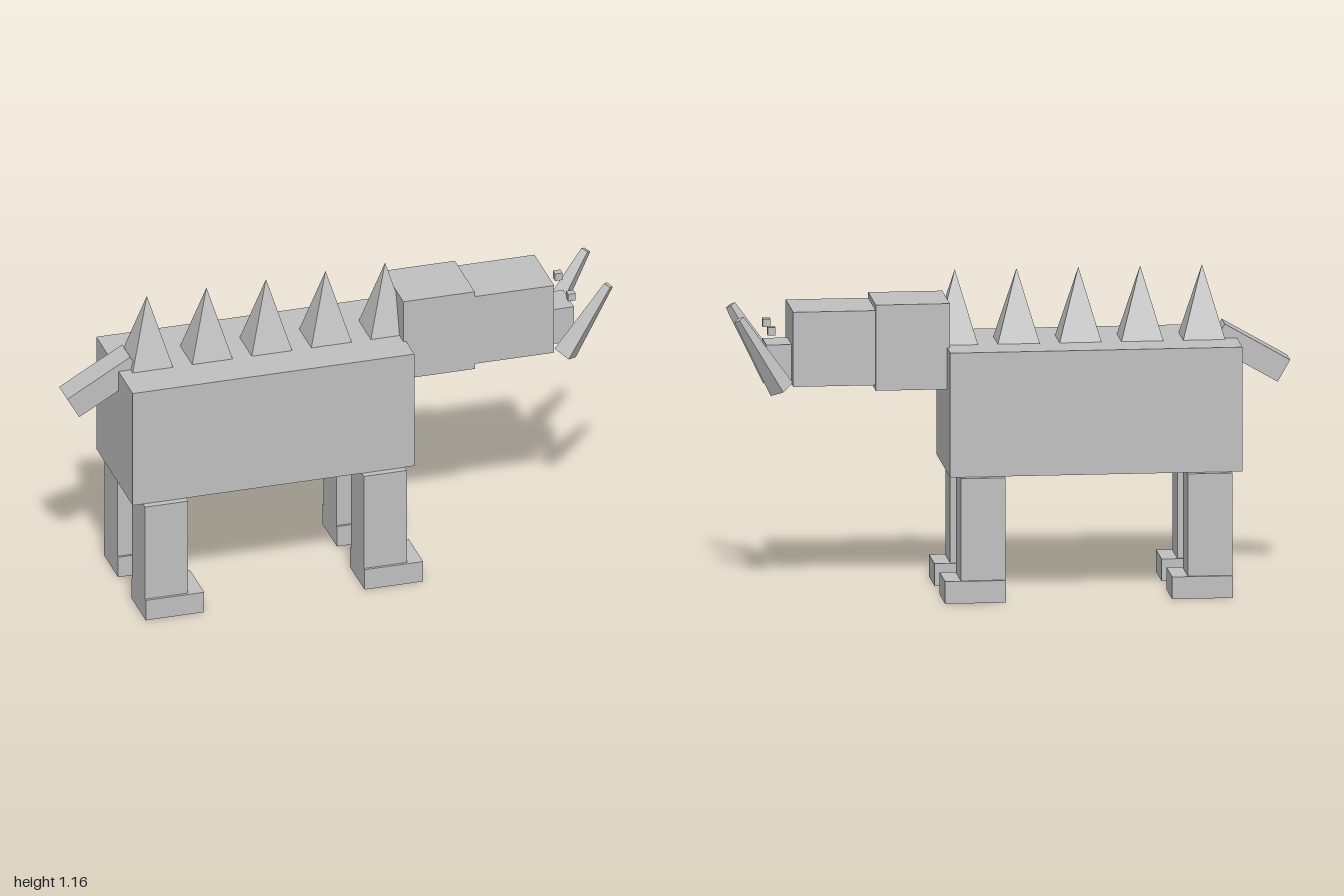
import * as THREE from 'three';

export function createModel() {
  const group = new THREE.Group();
  const grey = new THREE.MeshStandardMaterial({ color: 0xbfbfbf });
  grey.name = 'stone grey';

  const add = (name, geometry) => {
    const mesh = new THREE.Mesh(geometry, grey);
    mesh.name = name;
    group.add(mesh);
    return mesh;
  };

  // Box from its extents along x, y and z
  const box = (name, x0, x1, y0, y1, z0, z1) => {
    const mesh = add(name, new THREE.BoxGeometry(x1 - x0, y1 - y0, z1 - z0));
    mesh.position.set((x0 + x1) / 2, (y0 + y1) / 2, (z0 + z1) / 2);
    return mesh;
  };

  // Flat-sided four-cornered taper
  const taper = (rTop, rBottom, height) => {
    const g = new THREE.CylinderGeometry(rTop, rBottom, height, 4).toNonIndexed();
    g.computeVertexNormals();
    return g;
  };

  // Body, neck, head and snout; the animal looks along +x
  box('body', -0.81, 0.235, 0.45, 0.9, -0.225, 0.225);
  box('neck', 0.225, 0.49, 0.75, 1.06, -0.123, 0.123);
  box('head', 0.47, 0.785, 0.77, 1.04, -0.122, 0.122);
  box('snout', 0.775, 0.875, 0.775, 0.913, -0.067, 0.067);

  // Drooping tail
  const tail = add('tail', new THREE.BoxGeometry(0.27, 0.09, 0.1));
  tail.position.set(-0.861, 0.845, 0);
  tail.rotation.z = Math.PI / 6;

  // Row of pyramid spikes along the back
  for (let i = 0; i < 5; i++) {
    const spike = add('backSpike', taper(0, 0.075 * Math.SQRT2, 0.26).rotateY(Math.PI / 4));
    spike.position.set(-0.69 + i * 0.221, 1.03, 0);
  }

  for (const s of [1, -1]) {
    const side = (name, x0, x1, y0, y1, zIn, zOut) =>
      box(name, x0, x1, y0, y1, Math.min(s * zIn, s * zOut), Math.max(s * zIn, s * zOut));

    // Legs with feet that reach forward
    for (const [name, x] of [['back', -0.772], ['front', 0.04]]) {
      side(name + 'Leg', x, x + 0.16, 0.08, 0.45, 0.09, 0.25);
      side(name + 'Foot', x, x + 0.217, 0, 0.08, 0.082, 0.26);
    }

    // Small eyes in front of the face
    side('eye', 0.845, 0.873, 0.953, 0.981, 0.067, 0.095);

    // Tusks rising forward from beside the snout
    const base = new THREE.Vector3(0.826, 0.762, s * 0.121);
    const tip = new THREE.Vector3(0.981, 1.021, s * 0.14);
    const axis = tip.clone().sub(base);
    const tusk = add('tusk', taper(0.019, 0.046, axis.length()));
    tusk.position.copy(base).add(tip).multiplyScalar(0.5);
    tusk.quaternion.setFromUnitVectors(new THREE.Vector3(0, 1, 0), axis.normalize());
  }

  return group;
}
